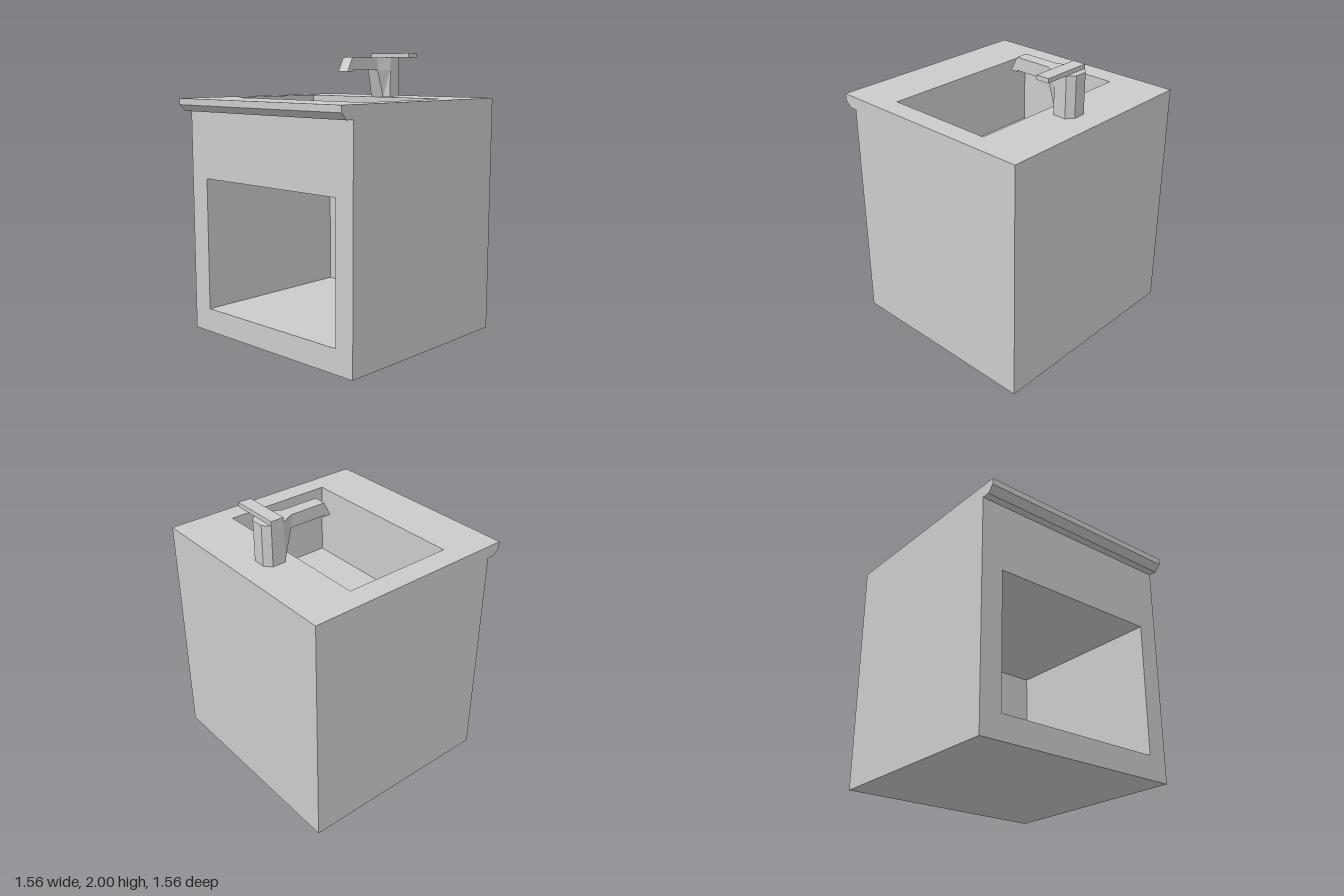
import * as THREE from 'three';
import { mergeGeometries } from 'three/addons/utils/BufferGeometryUtils.js';

const material = new THREE.MeshStandardMaterial({ color: 0xcccccc, flatShading: true });
const V = (x, y, z) => new THREE.Vector3(x, y, z);
const shapeOf = (pts) => new THREE.Shape(pts.map(([a, b]) => new THREE.Vector2(a, b)));

const HALF = 0.78, TOP = 1.685;
const HOLE_L = -0.62, HOLE_R = 0.635;
const NICHE = { bottom: 0.17, top: 1.12, back: -0.575, front: 0.68 };
const BASIN = { bottom: 1.17, top: TOP, back: -0.385, front: 0.415 };

// Side profile of cabinet and countertop as [z, y], counter-clockwise
const PROFILE = [[-HALF, 0], [0.68, 0], [0.68, 1.595], [0.735, 1.595],
  [HALF, 1.64], [HALF, TOP], [-HALF, TOP]];

function mesh(geometry, name) {
  const m = new THREE.Mesh(geometry, material);
  m.name = name;
  return m;
}

// Full-width panel spanning one profile edge, with an optional hole from v0 to v1 along it
function edgePanel([z0, y0], [z1, y1], hole) {
  const dir = V(0, y1 - y0, z1 - z0);
  const len = dir.length();
  const shape = shapeOf([[-HALF, 0], [HALF, 0], [HALF, len], [-HALF, len]]);
  if (hole) {
    const [v0, v1] = hole;
    shape.holes.push(shapeOf([[HOLE_L, v0], [HOLE_L, v1], [HOLE_R, v1], [HOLE_R, v0]]));
  }
  dir.normalize();
  const x = V(1, 0, 0);
  const m = new THREE.Matrix4().makeBasis(x, dir, x.clone().cross(dir)).setPosition(0, y0, z0);
  return new THREE.ShapeGeometry(shape).applyMatrix4(m);
}

// Flat end wall; side is 1 for left (+x), -1 for right
function endWall(side) {
  const pts = PROFILE.map(([z, y]) => [-side * z, y]);
  const m = new THREE.Matrix4().makeBasis(V(0, 0, -side), V(0, 1, 0), V(side, 0, 0))
    .setPosition(side * HALF, 0, 0);
  return new THREE.ShapeGeometry(shapeOf(pts)).applyMatrix4(m);
}

// Inward-facing box with one face left open (2 = top, 4 = front)
function recess({ bottom, top, back, front }, openFace) {
  const box = new THREE.BoxGeometry(HOLE_R - HOLE_L, top - bottom, front - back);
  const kept = Array.from(box.index.array).filter((_, i) => Math.floor(i / 6) !== openFace);
  box.setIndex(kept.reverse());
  const g = box.toNonIndexed();
  g.computeVertexNormals();
  return g.translate((HOLE_L + HOLE_R) / 2, (bottom + top) / 2, (back + front) / 2);
}

// Eight-sided faucet column whose front leans out towards the spout
function columnGeometry() {
  const ring = (y, front) => [[0.045, front], [0.092, -0.475], [0.092, -0.57], [0.045, -0.612],
    [-0.045, -0.612], [-0.092, -0.57], [-0.092, -0.475], [-0.045, front]].map(([x, z]) => [x, y, z]);
  const rings = [ring(TOP, -0.45), ring(1.88, -0.385), ring(1.97, -0.38)];
  const n = 8, index = [];
  for (let r = 0; r < 2; r++) {
    for (let i = 0; i < n; i++) {
      const a = r * n + i, b = r * n + (i + 1) % n;
      index.push(a, b, b + n, a, b + n, a + n);
    }
  }
  for (let i = 1; i < n - 1; i++) index.push(2 * n, 2 * n + i, 2 * n + i + 1);
  const g = new THREE.BufferGeometry();
  g.setAttribute('position', new THREE.Float32BufferAttribute(rings.flat(2), 3));
  g.setIndex(index);
  const flat = g.toNonIndexed();
  flat.computeVertexNormals();
  return flat;
}

// Spout with slanted tip and small outlet step below
function spoutGeometry() {
  const shape = shapeOf([[-0.385, 1.88], [-0.115, 1.88], [-0.115, 1.87], [-0.065, 1.87],
    [-0.115, 1.97], [-0.385, 1.97]]);
  return new THREE.ExtrudeGeometry(shape, { depth: 0.09, bevelEnabled: false })
    .rotateY(-Math.PI / 2).translate(0.045, 0, 0);
}

export function createModel() {
  const model = new THREE.Group();
  model.name = 'sinkCabinet';

  // Cabinet shell with countertop lip; front and top panels are cut open
  const holes = { 1: [NICHE.bottom, NICHE.top], 5: [HALF - BASIN.front, HALF - BASIN.back] };
  const panels = PROFILE.map((p, i) => edgePanel(p, PROFILE[(i + 1) % PROFILE.length], holes[i]));
  model.add(mesh(mergeGeometries([...panels, endWall(1), endWall(-1)]), 'cabinetShell'));

  // Open storage niche and basin
  model.add(mesh(recess(NICHE, 4), 'storageNiche'));
  model.add(mesh(recess(BASIN, 2), 'basin'));

  // Faucet
  const faucet = new THREE.Group();
  faucet.name = 'faucet';
  faucet.add(mesh(columnGeometry(), 'faucetColumn'));
  faucet.add(mesh(spoutGeometry(), 'faucetSpout'));
  const handle = mesh(new THREE.BoxGeometry(0.352, 0.03, 0.094), 'faucetHandle');
  handle.position.set(0.084, 1.985, -0.522);
  faucet.add(handle);
  model.add(faucet);

  return model;
}
